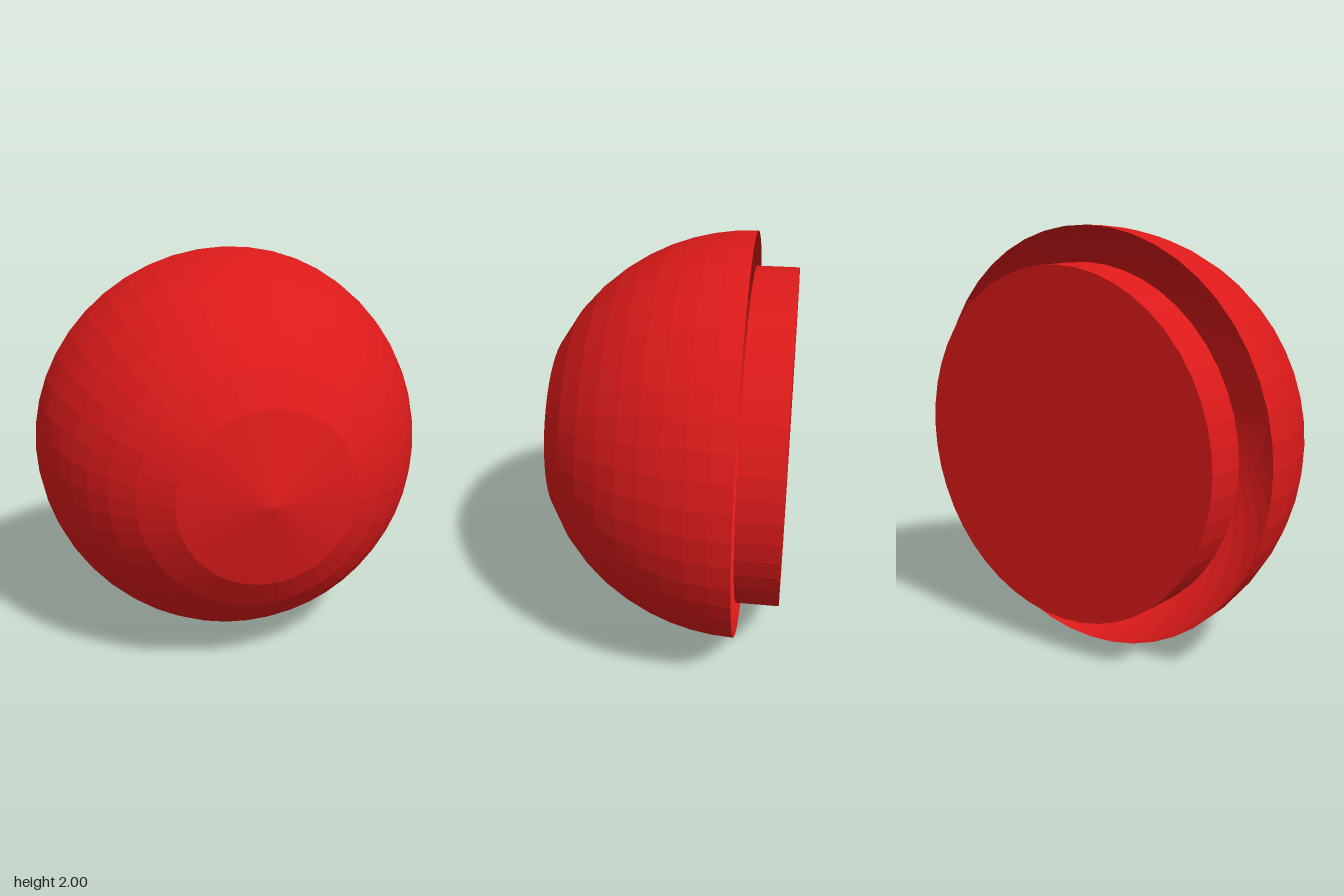
import * as THREE from 'three';

const SEGMENTS = 48;
const RIM_Z = -0.415;
const DOME_DEPTH = 1.036;
const DOME_STEPS = 10;
const BASE_RADIUS = 0.833;
const BASE_DEPTH = 0.207;

export function createModel() {
  const group = new THREE.Group();
  group.name = 'domeCap';
  const material = new THREE.MeshStandardMaterial({
    color: 0xdd1a1a, flatShading: true, side: THREE.DoubleSide,
  });

  // Hollow dome: evenly spaced rings along its depth, ending in a shallow cone
  const profile = [];
  for (let i = 0; i <= DOME_STEPS; i++) {
    const t = i / DOME_STEPS;
    profile.push(new THREE.Vector2(Math.sqrt(1 - t * t), t * DOME_DEPTH));
  }
  const dome = new THREE.Mesh(new THREE.LatheGeometry(profile, SEGMENTS), material);
  dome.name = 'dome';
  dome.rotation.x = Math.PI / 2;
  dome.position.set(0, 1, RIM_Z);
  group.add(dome);

  // Round base disc, starting at the open rim and reaching backwards
  const base = new THREE.Mesh(
    new THREE.CylinderGeometry(BASE_RADIUS, BASE_RADIUS, BASE_DEPTH, SEGMENTS), material);
  base.name = 'base';
  base.rotation.x = Math.PI / 2;
  base.position.set(0, 1, RIM_Z - BASE_DEPTH / 2);
  group.add(base);

  return group;
}
